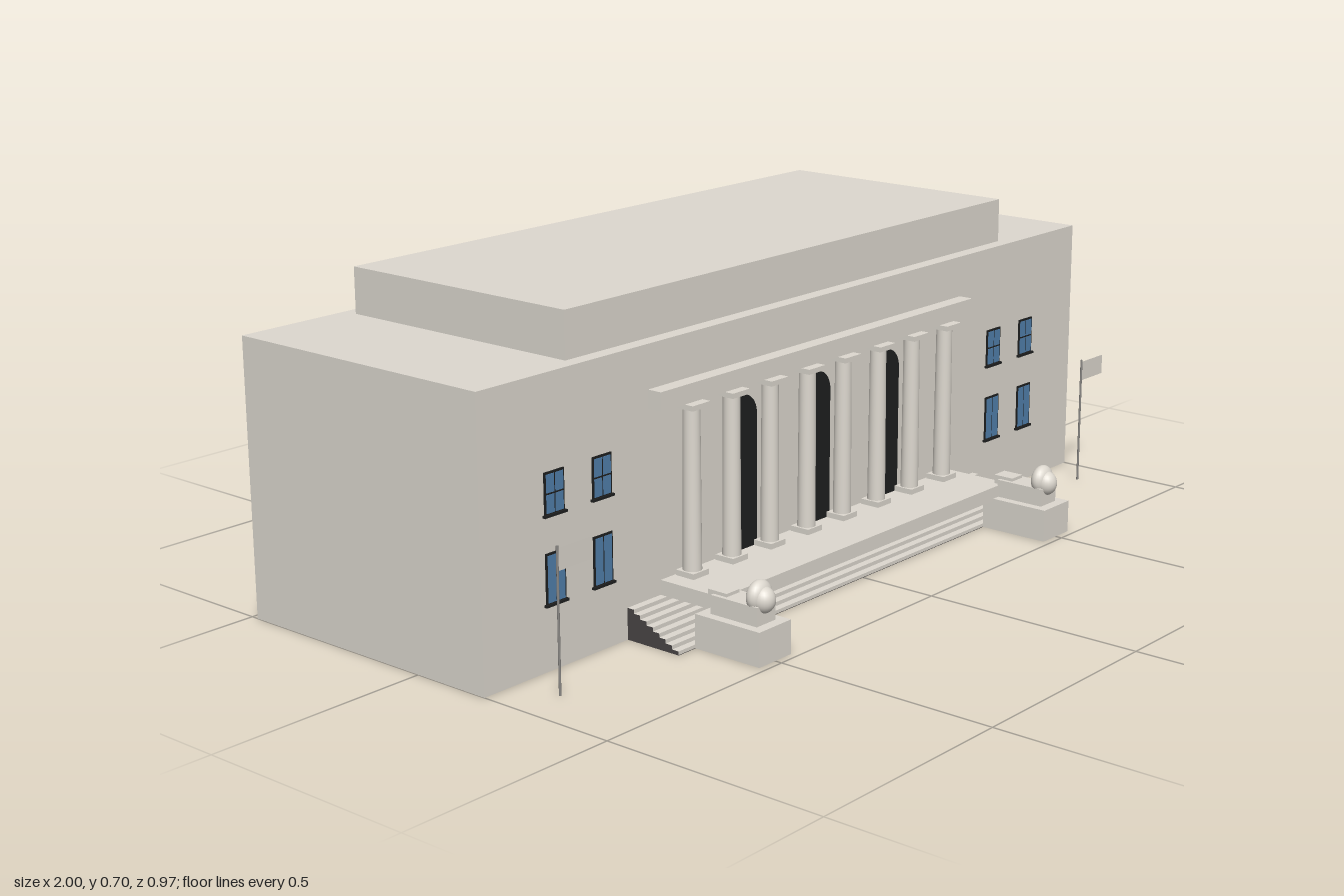
import * as THREE from 'three';

const mat = (name, color, side = THREE.FrontSide) => {
  const m = new THREE.MeshStandardMaterial({ color, side });
  m.name = name;
  return m;
};

export function createModel() {
  const stone = mat('stone', 0xddd8cf);
  const cloth = mat('flagCloth', 0xdcd7ce, THREE.DoubleSide);
  const shade = mat('darkStone', 0x4a4646);
  const door = mat('doorBlack', 0x1e1f1f);
  const glass = mat('windowBlue', 0x507eab);
  const metal = mat('poleGrey', 0x8a8885);
  // Box faces in order +x, -x, +y, -y, +z, -z: stone with a dark underside
  const darkBelow = [stone, stone, stone, shade, stone, stone];
  const model = new THREE.Group();
  model.name = 'museum';

  const add = (name, geo, material, x = 0, y = 0, z = 0, parent = model) => {
    const mesh = new THREE.Mesh(geo, material);
    mesh.name = name;
    mesh.position.set(x, y, z);
    parent.add(mesh);
    return mesh;
  };
  // Box given by its extents on each axis
  const box = (name, material, x0, x1, y0, y1, z0, z1, parent = model) =>
    add(name, new THREE.BoxGeometry(x1 - x0, y1 - y0, z1 - z0), material,
      (x0 + x1) / 2, (y0 + y1) / 2, (z0 + z1) / 2, parent);
  const group = (name, x = 0, y = 0, z = 0) => {
    const g = new THREE.Group();
    g.name = name;
    g.position.set(x, y, z);
    model.add(g);
    return g;
  };
  const FRONT = 0.183;

  // Main building, roof storey and rear band
  box('mainBlock', darkBelow, -1, 1, 0, 0.6, -0.483, FRONT);
  box('roofStorey', stone, -0.73, 0.73, 0.6, 0.7, -0.45, 0.15);
  box('rearBand', shade, -0.532, 0.532, 0.468, 0.507, -0.484, -0.48);

  // Staircase: stepped side profile drawn out across the front
  const steps = 8, run = 0.017, rise = 0.0085, base = 0.001;
  const profile = new THREE.Shape();
  profile.moveTo(FRONT, base);
  profile.lineTo(FRONT + steps * run, base);
  for (let i = 1; i <= steps; i++) {
    const z = FRONT + (steps - i + 1) * run;
    profile.lineTo(z, i * rise);
    profile.lineTo(z - run, i * rise);
  }
  const stairGeo = new THREE.ExtrudeGeometry(profile, { depth: 1.2, bevelEnabled: false });
  stairGeo.rotateY(-Math.PI / 2);
  add('stairs', stairGeo, [shade, stone], 0.6);
  box('stairUnderside', shade, -0.6, 0.6, 0, base, FRONT, FRONT + steps * run);

  // Portico floor and beam
  box('porticoFloor', darkBelow, -0.5, 0.5, 0.068, 0.1, FRONT, 0.345);
  box('entablature', stone, -0.532, 0.532, 0.467, 0.507, FRONT, 0.217);

  // Eight columns with square bases and capitals
  for (let i = 0; i < 8; i++) {
    const c = group('column', -0.434 + i * 0.124, 0, 0.211);
    box('columnBase', stone, -0.024, 0.024, 0.1, 0.112, -0.024, 0.024, c);
    add('columnShaft', new THREE.CylinderGeometry(0.018, 0.02, 0.344, 24), stone, 0, 0.284, 0, c);
    box('columnCapital', stone, -0.027, 0.027, 0.456, 0.467, -0.027, 0.027, c);
  }

  // Arched doorways
  const arch = new THREE.Shape();
  arch.moveTo(-0.048, 0.1);
  arch.lineTo(0.048, 0.1);
  arch.lineTo(0.048, 0.389);
  arch.absarc(0, 0.389, 0.048, 0, Math.PI, false);
  arch.closePath();
  const archGeo = new THREE.ExtrudeGeometry(arch, { depth: 0.004, bevelEnabled: false });
  for (const x of [-0.248, 0, 0.248]) add('doorway', archGeo, door, x, 0, FRONT);

  // Windows: dark frame plate, two panes wide, glazing bars and sill
  const addWindow = (x, y0, y1, rows) => {
    const w = group('window', x, 0, FRONT);
    box('windowFrame', door, -0.027, 0.027, y0, y1, 0, 0.003, w);
    const h = (y1 - y0 - 0.005) / rows;
    for (let r = 0; r < rows; r++) {
      const cy = y0 + 0.0025 + (r + 0.5) * h;
      for (const s of [-1, 1]) {
        box('windowPane', glass, s * 0.0125 - 0.0105, s * 0.0125 + 0.0105,
          cy - h / 2 + 0.002, cy + h / 2 - 0.002, 0.002, 0.0045, w);
      }
    }
    box('windowSill', door, -0.031, 0.031, y0 - 0.003, y0 + 0.002, 0, 0.007, w);
  };
  for (const x of [-0.803, -0.67, 0.67, 0.803]) {
    addWindow(x, 0.318, 0.405, 2);
    addWindow(x, 0.137, 0.242, 1);
  }

  // Guardian statues on pedestals, and flags on poles, on both sides
  const ball = new THREE.SphereGeometry(1, 24, 16);
  for (const s of [-1, 1]) {
    const g = group('guardian', s * 0.5);
    box('pedestal', darkBelow, -0.049, 0.049, 0, 0.073, 0.318, 0.484, g);
    box('statueBody', stone, -0.029, 0.029, 0.073, 0.113, 0.342, 0.461, g);
    box('statueHaunch', stone, -0.02, 0.02, 0.1, 0.12, 0.327, 0.376, g);
    add('statueMane', ball, stone, 0, 0.127, 0.443, g).scale.set(0.033, 0.033, 0.021);
    add('statueHead', ball, stone, 0, 0.121, 0.453, g).scale.set(0.025, 0.028, 0.026);

    add('flagPole', new THREE.CylinderGeometry(0.0025, 0.0025, 0.3, 10), metal, s * 0.9, 0.15, 0.285);
    add('flag', new THREE.PlaneGeometry(0.09, 0.046), cloth, s * 0.9 + 0.047, 0.272, 0.285);
  }
  return model;
}
